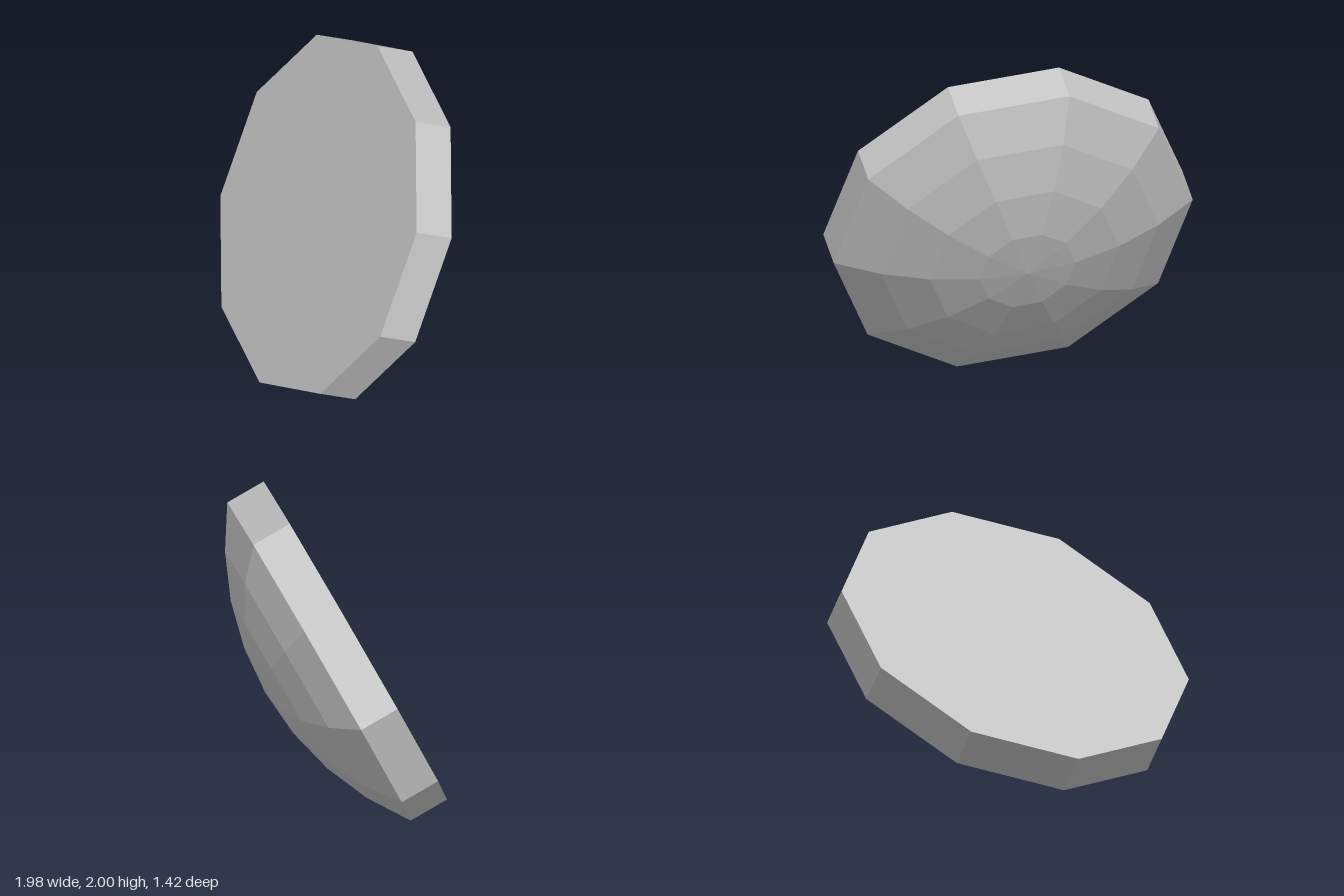
import * as THREE from 'three';

const SIDES = 10;
const RADIUS = 1.07;      // corner radius of the flat face
const RIM = 0.243;        // height of the straight band
const ARC = THREE.MathUtils.degToRad(37); // half angle of the spherical back
const RINGS = 4;

export function createModel() {
  const group = new THREE.Group();
  group.name = 'tiltedDome';
  const stone = new THREE.MeshStandardMaterial({ color: 0xc2c2c2 });
  stone.name = 'light grey';

  // Faceted solid of revolution about y, from a list of profile points (bottom to top)
  const addPart = (name, points) => {
    const geometry = new THREE.LatheGeometry(points, SIDES).toNonIndexed();
    geometry.computeVertexNormals();
    const mesh = new THREE.Mesh(geometry, stone);
    mesh.name = name;
    group.add(mesh);
  };

  // Shallow spherical back, apex first
  const sphere = RADIUS / Math.sin(ARC);
  const dome = [];
  for (let i = 0; i <= RINGS; i++) {
    const a = (ARC * i) / RINGS;
    dome.push(new THREE.Vector2(sphere * Math.sin(a), -RIM - sphere * (Math.cos(a) - Math.cos(ARC))));
  }
  addPart('domedBack', dome);

  // Straight band around the edge
  addPart('rim', [new THREE.Vector2(RADIUS, -RIM), new THREE.Vector2(RADIUS, 0)]);

  // Flat front face
  addPart('flatFace', [new THREE.Vector2(RADIUS, 0), new THREE.Vector2(0, 0)]);

  // Lean the solid: y follows the face normal, z points to the topmost corner
  const up = new THREE.Vector3(-0.374, 0.433, 0.82).normalize();
  const right = new THREE.Vector3().crossVectors(up, new THREE.Vector3(0, 0.884, -0.467)).normalize();
  const corner = new THREE.Vector3().crossVectors(right, up);
  group.quaternion.setFromRotationMatrix(new THREE.Matrix4().makeBasis(right, up, corner));
  group.position.set(-0.045, 1.055, 0.1);

  const model = new THREE.Group();
  model.name = 'model';
  model.add(group);
  return model;
}
